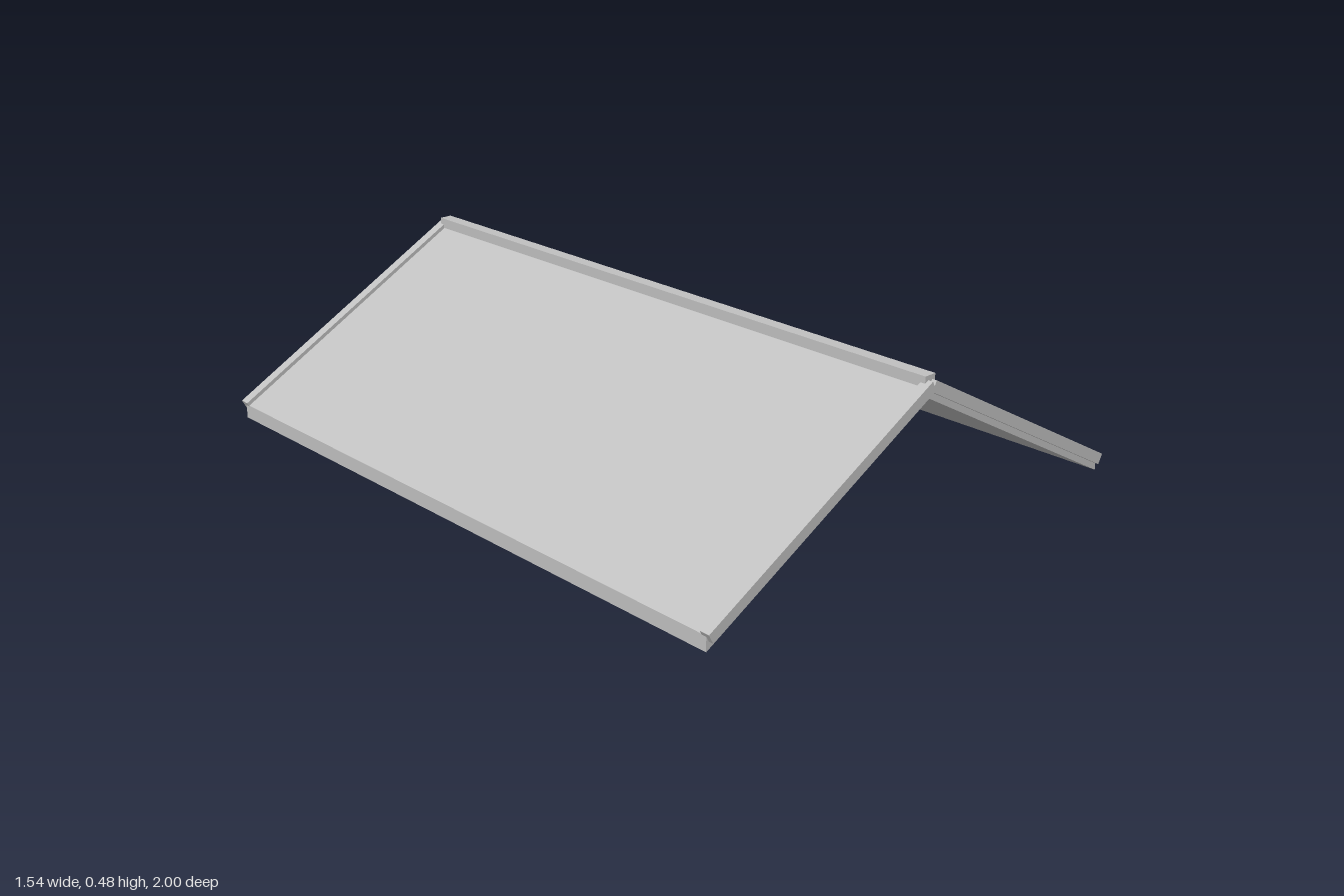
import * as THREE from 'three';

export function createModel() {
  const group = new THREE.Group();
  group.name = 'gableRoof';
  const grey = new THREE.MeshStandardMaterial({ color: 0xc0c0c0 });
  grey.name = 'roofGrey';

  function add(name, geometry, x = 0, y = 0, z = 0) {
    const mesh = new THREE.Mesh(geometry, grey);
    mesh.name = name;
    mesh.position.set(x, y, z);
    group.add(mesh);
    return mesh;
  }

  // Roof panels: a chevron section with upright eaves, run front to back
  const half = 0.765, ridge = 0.417, thick = 0.042, length = 1.97;
  const section = new THREE.Shape([
    [-half, 0], [0, ridge], [half, 0],
    [half, thick], [0, ridge + thick], [-half, thick],
  ].map(([x, y]) => new THREE.Vector2(x, y)));
  const panels = new THREE.ExtrudeGeometry(section, { depth: length, bevelEnabled: false });
  panels.translate(0, 0, -length / 2);
  add('roofPanels', panels);

  // Ridge cap along the peak
  add('ridgeCap', new THREE.BoxGeometry(0.038, 0.03, length), 0, 0.465, 0);

  // Sloping barge boards on both gable ends
  const run = 0.764, rise = 0.416;
  const board = new THREE.BoxGeometry(Math.hypot(run, rise), 0.031, 0.03);
  for (const end of [1, -1]) {
    for (const side of [1, -1]) {
      const mesh = add(
        (end > 0 ? 'front' : 'back') + (side > 0 ? 'Left' : 'Right') + 'BargeBoard',
        board, side * run / 2, 0.038 + rise / 2, end * 0.985);
      mesh.rotation.z = -side * Math.atan2(rise, run);
    }
  }
  return group;
}
